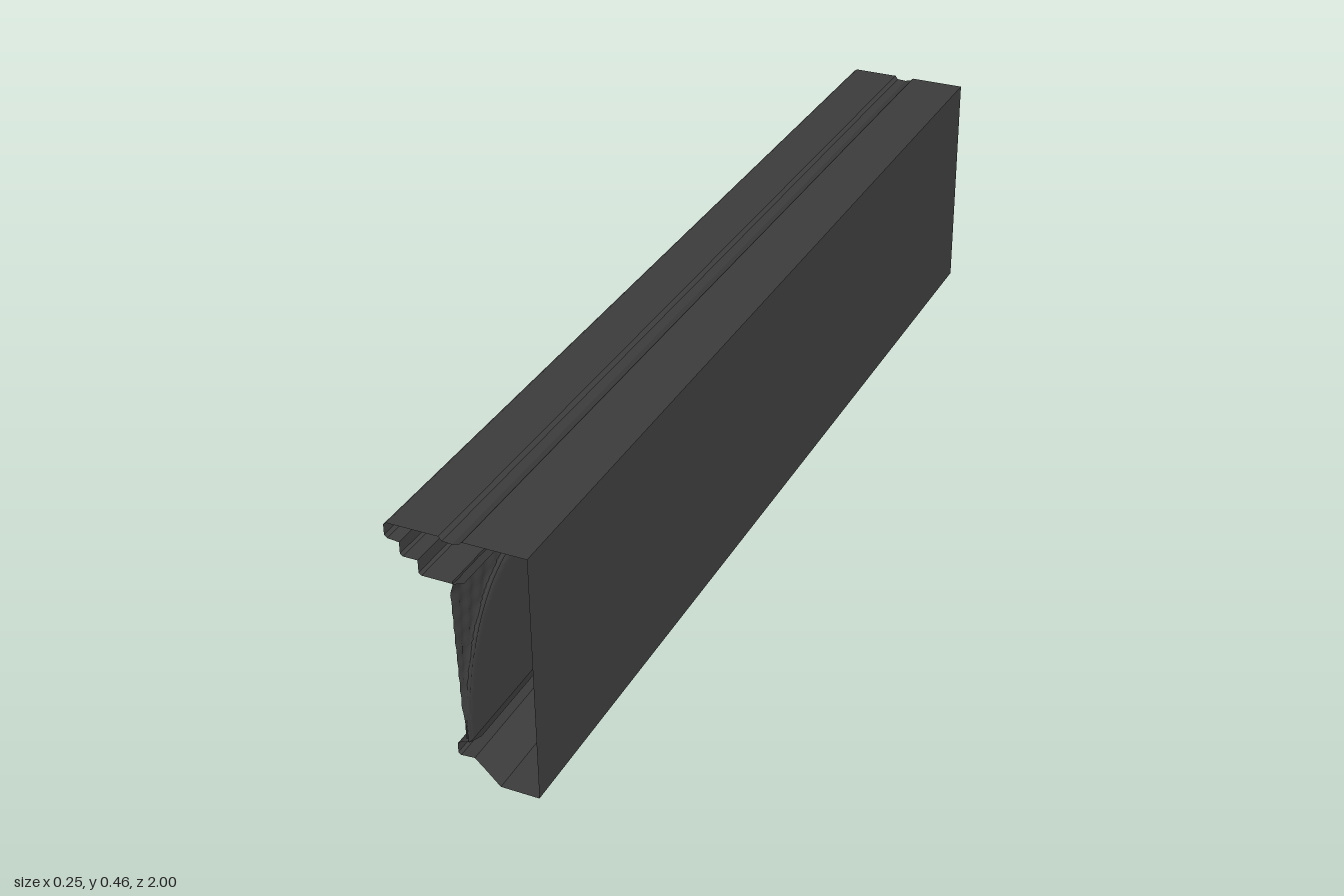
import * as THREE from 'three';

const BAYS = 5, PITCH = 2 / BAYS;
const SPRING = 0.075, RISE = 0.265;           // arch foot and height
const SHEET_LOW = 0.072, SHEET_HIGH = 0.384;  // limits of the arcaded panel

const material = new THREE.MeshStandardMaterial({ color: 0x3c3c3c, side: THREE.DoubleSide });

// Sweeps an open [x, y] profile along the whole length, with crisp edges
function sweep(name, profile) {
  const pos = [];
  for (let i = 0; i < profile.length - 1; i++) {
    const [ax, ay] = profile[i], [bx, by] = profile[i + 1];
    pos.push(ax, ay, 1, ax, ay, -1, bx, by, -1, ax, ay, 1, bx, by, -1, bx, by, 1);
  }
  const geo = new THREE.BufferGeometry();
  geo.setAttribute('position', new THREE.Float32BufferAttribute(pos, 3));
  geo.computeVertexNormals();
  const mesh = new THREE.Mesh(geo, material);
  mesh.name = name;
  return mesh;
}

// The recessed face leans outwards towards its top
const faceX = y => 0.004 - 0.009 * (y - SHEET_LOW) / (SHEET_HIGH - SHEET_LOW);

// Panel with recessed arches and fluted fans between them
function arcadePanel() {
  const height = SHEET_HIGH - SHEET_LOW;
  const geo = new THREE.PlaneGeometry(2, height, 300, 44);
  geo.rotateY(-Math.PI / 2);
  geo.translate(0, SHEET_LOW + height / 2, 0);
  const p = geo.attributes.position;
  for (let i = 0; i < p.count; i++) {
    const y = p.getY(i), z = p.getZ(i);
    const bay = Math.min(BAYS - 1, Math.floor((z + 1) / PITCH));
    const u = (z + 1 - (bay + 0.5) * PITCH) / (PITCH / 2);
    const v = (y - SPRING) / RISE;
    const outside = Math.hypot(u, v) - 1;
    const step = THREE.MathUtils.smoothstep(outside, -0.02, 0.03);
    // flutes spread from the foot of each fan
    const angle = Math.atan2(1 - Math.abs(u), Math.max(v, 0) + 0.05);
    const flute = 0.0015 * Math.cos(angle * 40) + 0.0006 * Math.sin(v * 55);
    const topFade = 1 - THREE.MathUtils.smoothstep(y, 0.355, SHEET_HIGH) * 0.75;
    p.setX(i, faceX(y) - step * (0.0075 + flute) * topFade);
  }
  geo.computeVertexNormals();
  const mesh = new THREE.Mesh(geo, material);
  mesh.name = 'arcadePanel';
  return mesh;
}

// Raised rib around one arch
function archRib(zc) {
  const pts = [];
  for (let i = 0; i <= 24; i++) {
    const a = Math.PI * i / 24;
    const y = SPRING + 0.003 + RISE * Math.sin(a);
    pts.push(new THREE.Vector3(faceX(y) - 0.005, y, zc + (PITCH / 2 - 0.005) * Math.cos(a)));
  }
  const geo = new THREE.TubeGeometry(new THREE.CatmullRomCurve3(pts), 48, 0.005, 6);
  const mesh = new THREE.Mesh(geo, material);
  mesh.name = 'archRib';
  return mesh;
}

export function createModel() {
  const group = new THREE.Group();
  group.name = 'arcadedCornice';

  group.add(sweep('backWall', [[0.125, 0], [0.125, 0.46]]));

  // Top with a shallow groove, then stepped mouldings beneath the overhang
  group.add(sweep('topCornice', [
    [0.125, 0.46], [0.013, 0.46], [0.008, 0.455], [-0.004, 0.452], [-0.022, 0.453], [-0.028, 0.46],
    [-0.119, 0.46], [-0.125, 0.456], [-0.125, 0.437], [-0.12, 0.432], [-0.099, 0.43],
    [-0.099, 0.409], [-0.094, 0.405], [-0.068, 0.405], [-0.068, 0.382], [-0.063, 0.378],
    [-0.006, 0.378], [0.012, 0.384],
  ]));

  // Projecting ledge with a sloping underside
  group.add(sweep('bottomLedge', [
    [0.026, 0.094], [0.004, 0.074], [-0.012, 0.07], [-0.02, 0.064], [-0.02, 0.046],
    [-0.015, 0.042], [0.01, 0.044], [0.03, 0.025], [0.055, 0], [0.125, 0],
  ]));

  group.add(arcadePanel());
  const ribs = new THREE.Group();
  ribs.name = 'archRibs';
  for (let i = 0; i < BAYS; i++) ribs.add(archRib(-1 + (i + 0.5) * PITCH));
  group.add(ribs);
  return group;
}
